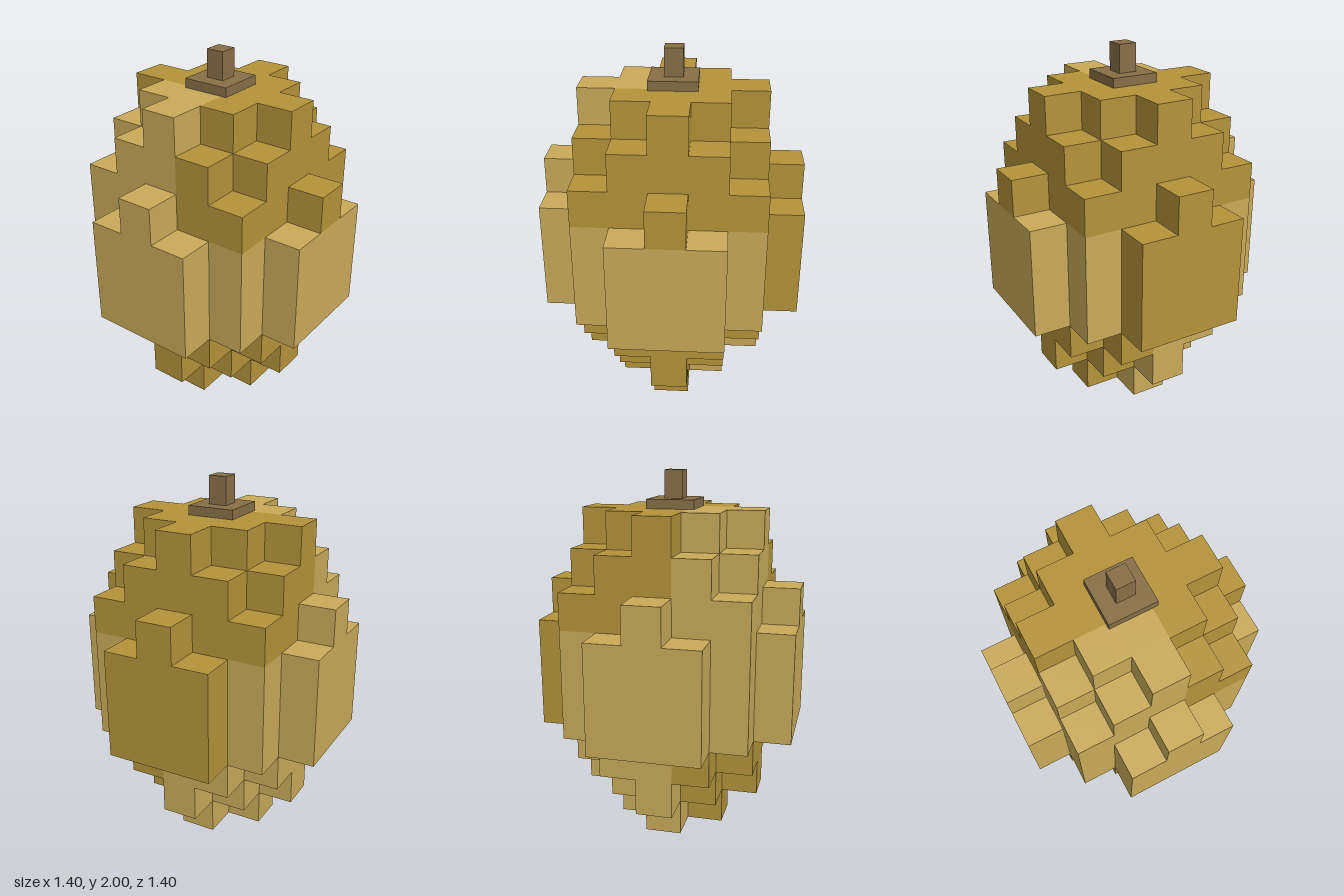
import * as THREE from 'three';
import { mergeGeometries } from 'three/addons/utils/BufferGeometryUtils.js';

const CELL = 0.2;

// Half-width of each row (in cells) by its distance from the middle, one list per layer from the bottom
const BELLY = [3, 3, 2, 1];
const LAYERS = [[1, 0], [2, 1, 0], [2, 2, 1], BELLY, BELLY, BELLY, [3, 2, 2, 0], [2, 2, 1], [2, 1, 0]];

const filled = (i, j, k) => {
  const half = LAYERS[j]?.[Math.abs(k)];
  return half !== undefined && Math.abs(i) <= half;
};

// Each section of the body has its own pale patches
const SECTIONS = [
  { name: 'base', from: 0, to: 2, pale: (i, k) => i >= 0 && k <= 0 },
  { name: 'belly', from: 3, to: 5, pale: (i) => i < 3 },
  { name: 'crown', from: 6, to: 8, pale: (i, k) => (i < 0 && k <= 0) || k === -3 },
];

// One square face per direction, already turned outward
const FACES = [[1, 0, 0], [-1, 0, 0], [0, 1, 0], [0, -1, 0], [0, 0, 1], [0, 0, -1]].map((d) => {
  const plane = new THREE.PlaneGeometry(CELL, CELL);
  const turn = new THREE.Quaternion().setFromUnitVectors(new THREE.Vector3(0, 0, 1), new THREE.Vector3(...d));
  if (d[2] === -1) plane.rotateY(Math.PI);
  else plane.applyQuaternion(turn);
  return { d, geometry: plane.translate(d[0] * CELL / 2, d[1] * CELL / 2, d[2] * CELL / 2) };
});

// Outer skin of the chosen cells
function skin(from, to, wanted) {
  const faces = [];
  for (let j = from; j <= to; j++)
    for (let i = -3; i <= 3; i++)
      for (let k = -3; k <= 3; k++) {
        if (!filled(i, j, k) || !wanted(i, k)) continue;
        for (const { d, geometry } of FACES)
          if (!filled(i + d[0], j + d[1], k + d[2]))
            faces.push(geometry.clone().translate(i * CELL, (j + 0.5) * CELL, k * CELL));
      }
  return mergeGeometries(faces);
}

export function createModel() {
  const model = new THREE.Group();
  model.name = 'blockyFruit';

  const material = (name, color) => {
    const m = new THREE.MeshStandardMaterial({ color });
    m.name = name;
    return m;
  };
  const paleGold = material('pale gold', 0xc9aa59);
  const darkGold = material('dark gold', 0xb4933a);
  const brown = material('stem brown', 0x876f47);

  const add = (name, geometry, mat, y = 0) => {
    const mesh = new THREE.Mesh(geometry, mat);
    mesh.name = name;
    mesh.position.y = y;
    model.add(mesh);
  };

  // Stepped body
  for (const { name, from, to, pale } of SECTIONS) {
    add(`${name}PalePatch`, skin(from, to, pale), paleGold);
    add(`${name}DarkPatch`, skin(from, to, (i, k) => !pale(i, k)), darkGold);
  }

  // Stem
  add('stemCollar', new THREE.BoxGeometry(0.26, 0.05, 0.26), brown, 1.825);
  add('stem', new THREE.BoxGeometry(0.1, 0.15, 0.1), brown, 1.925);

  return model;
}
